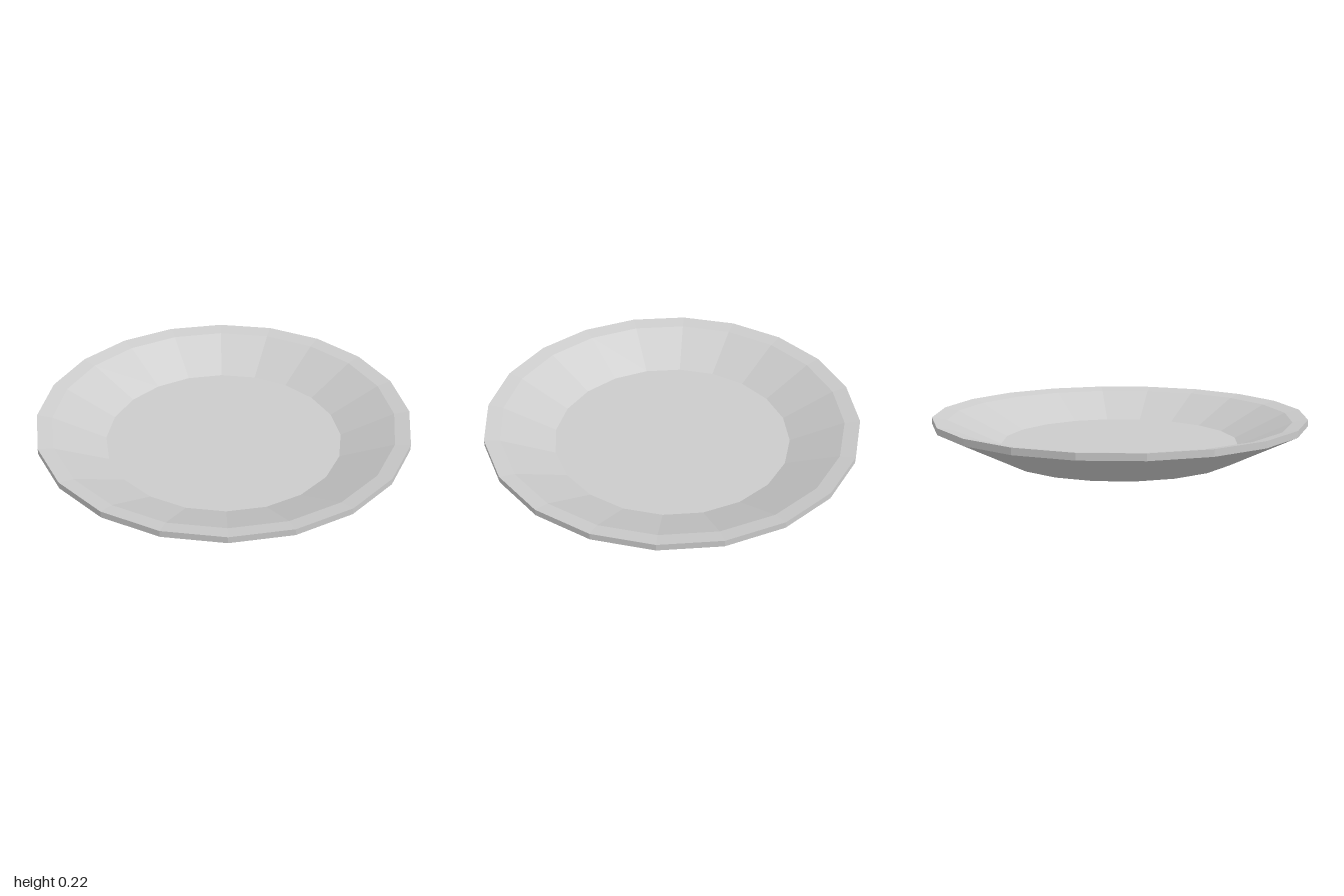
import * as THREE from 'three';

const SIDES = 20;

export function createModel() {
  const group = new THREE.Group();
  group.name = 'plate';
  const material = new THREE.MeshStandardMaterial({ color: 0xcccccc, flatShading: true });

  // Each part is a ring swept from a short profile of [radius, height] points
  const addPart = (name, profile) => {
    const points = profile.map(([r, y]) => new THREE.Vector2(r, y));
    const mesh = new THREE.Mesh(new THREE.LatheGeometry(points, SIDES), material);
    mesh.name = name;
    group.add(mesh);
  };

  // Flat base and flared underside
  addPart('underside', [[0, 0], [0.638, 0], [1, 0.183]]);
  // Upright outer edge and gently inward-sloping lip
  addPart('rim', [[1, 0.183], [1, 0.218], [0.92, 0.202]]);
  // Sloped inner wall and flat floor
  addPart('well', [[0.92, 0.202], [0.64, 0.068], [0, 0.068]]);

  return group;
}
